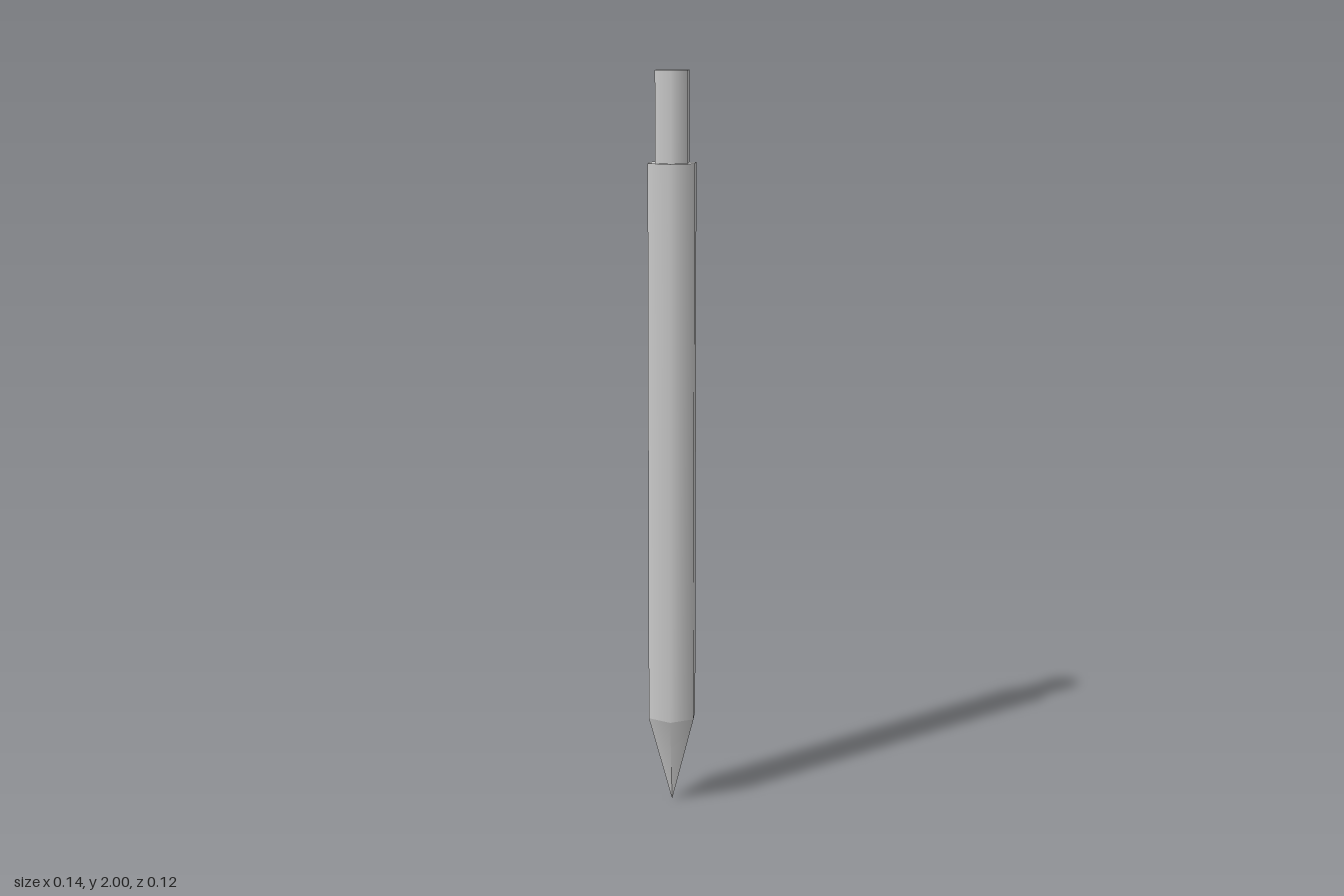
import * as THREE from 'three';

const material = new THREE.MeshStandardMaterial({ color: 0xcccccc });

// Six-sided, smooth-shaded prism with corners on the x axis
function hexPart(name, rTop, rBottom, y0, y1, open = false) {
  const geometry = new THREE.CylinderGeometry(rTop, rBottom, y1 - y0, 6, 1, open, Math.PI / 2);
  const mesh = new THREE.Mesh(geometry, material);
  mesh.name = name;
  mesh.position.y = (y0 + y1) / 2;
  return mesh;
}

export function createModel() {
  const group = new THREE.Group();
  group.name = 'pencil';
  group.add(
    hexPart('tip', 0.071, 0, 0, 0.245, true), // pointed end
    hexPart('barrel', 0.071, 0.071, 0.245, 1.76), // main shaft
    hexPart('endButton', 0.05, 0.05, 1.76, 2), // narrow push end
  );
  return group;
}
